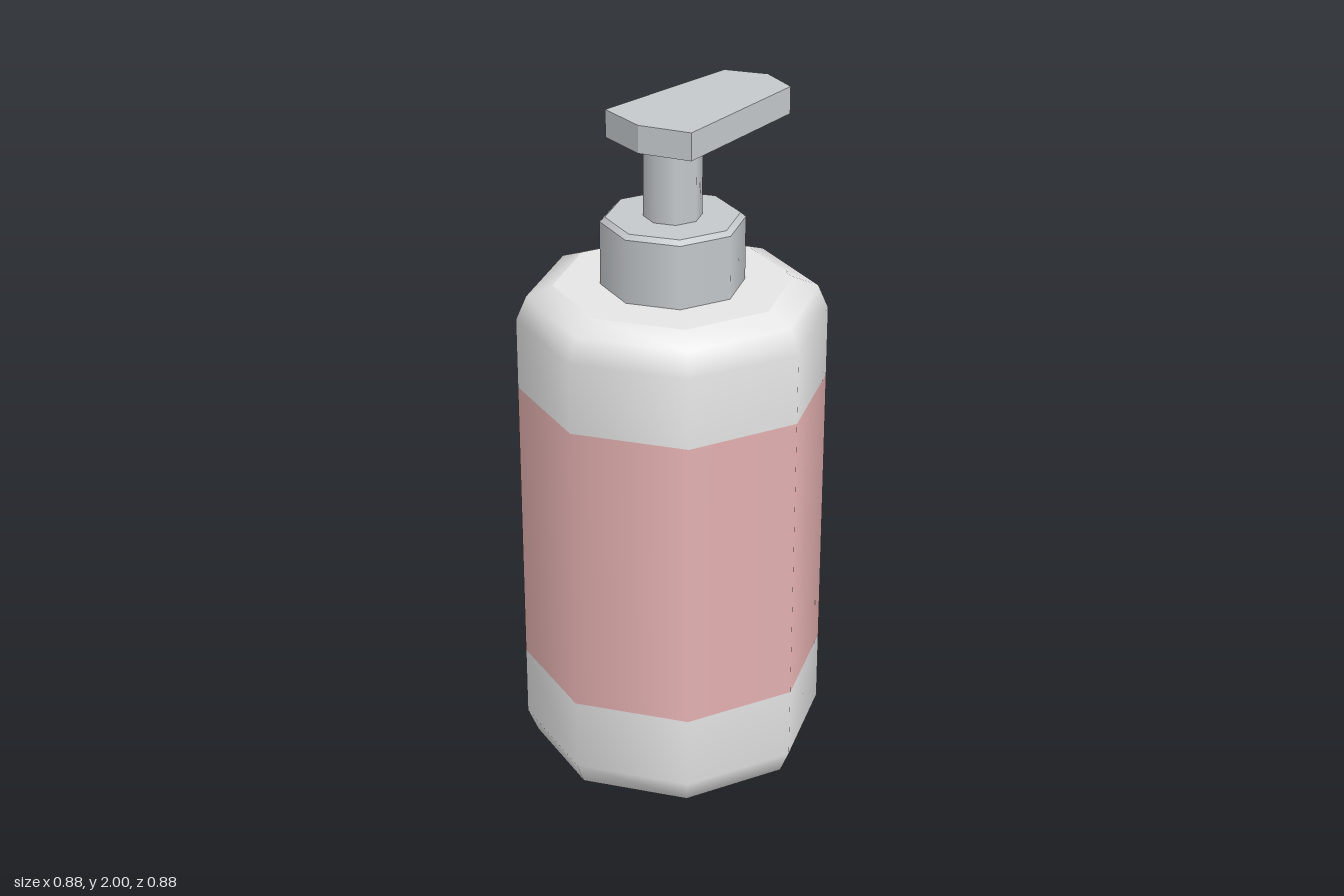
import * as THREE from 'three';

const SIDES = 8;
const TWIST = 0.147; // turn of the octagon about y

const mat = (name, color) => {
  const m = new THREE.MeshStandardMaterial({ color });
  m.name = name;
  return m;
};

export function createModel() {
  const group = new THREE.Group();
  group.name = 'pumpBottle';
  const white = mat('bottleGrey', 0xe6e6e6);
  const pink = mat('labelPink', 0xe6b2b2);
  const grey = mat('pumpGrey', 0xc5c9cc);

  // Eight-sided turned piece; profile runs bottom to top as [radius, y]
  const turned = (name, material, profile) => {
    const pts = profile.map(([r, y]) => new THREE.Vector2(r, y));
    const mesh = new THREE.Mesh(new THREE.LatheGeometry(pts, SIDES, TWIST), material);
    mesh.name = name;
    group.add(mesh);
  };

  // Bottle: flat caps, rounded shoulders and a painted band
  turned('bottleBase', white, [[0, 0], [0.34, 0]]);
  turned('bottleLower', white, [[0.34, 0], [0.415, 0.03], [0.445, 0.1], [0.445, 0.315]]);
  turned('label', pink, [[0.445, 0.315], [0.445, 1.19]]);
  turned('bottleUpper', white, [[0.445, 1.19], [0.445, 1.4], [0.415, 1.47], [0.34, 1.5]]);
  turned('bottleTop', white, [[0.34, 1.5], [0, 1.5]]);

  // Collar with a small chamfer
  turned('collar', grey, [[0.205, 1.5], [0.205, 1.687]]);
  turned('collarChamfer', grey, [[0.205, 1.687], [0.19, 1.7]]);
  turned('collarTop', grey, [[0.19, 1.7], [0, 1.7]]);

  // Stem
  turned('stem', grey, [[0.083, 1.7], [0.083, 1.92]]);

  // Pump head: stacked slabs, the middle one notched to form the outlet slot
  const slab = (name, outline, y0, y1) => {
    const shape = new THREE.Shape(outline.map(([x, z]) => new THREE.Vector2(x, -z)));
    const geo = new THREE.ExtrudeGeometry(shape, { depth: y1 - y0, bevelEnabled: false });
    geo.rotateX(-Math.PI / 2).translate(0, y0, 0);
    const mesh = new THREE.Mesh(geo, grey);
    mesh.name = name;
    group.add(mesh);
  };
  const back = [[0.39, 0.062], [-0.08, 0.162], [-0.145, 0.02], [-0.125, -0.138], [0.356, -0.174]];
  const tip = [0.421, -0.062];
  const slot = [[0.373, -0.144], [0.355, -0.134], [0.397, -0.06], [0.375, 0.035], [0.395, 0.04]];
  slab('headBottom', [...back, tip], 1.92, 1.942);
  slab('headSlot', [...back, ...slot], 1.942, 1.974);
  slab('headTop', [...back, tip], 1.974, 2);

  return group;
}
